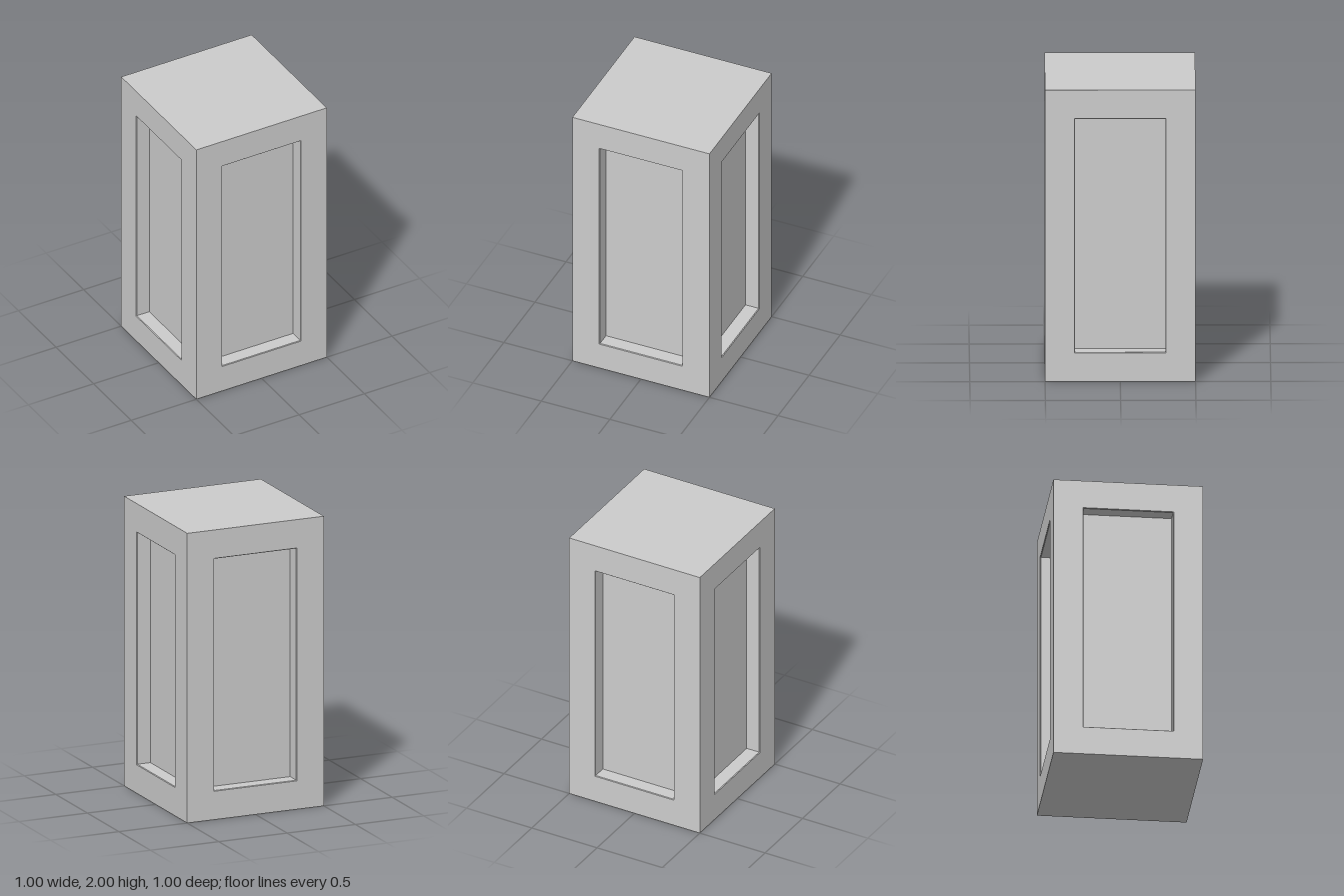
import * as THREE from 'three';

// Each section is a rectangle [half width, half height, distance from axis]
function rect([w, h, z]) {
  return [[-w, 1 - h, z], [w, 1 - h, z], [w, 1 + h, z], [-w, 1 + h, z]];
}

// Joins neighbouring rectangles with flat quads and closes the last one
function nestedPanel(sections) {
  const pos = [];
  const quad = (a, b, c, d) => pos.push(...a, ...b, ...c, ...a, ...c, ...d);
  const loops = sections.map(rect);
  for (let i = 0; i + 1 < loops.length; i++) {
    for (let k = 0; k < 4; k++) {
      const n = (k + 1) % 4;
      quad(loops[i][k], loops[i][n], loops[i + 1][n], loops[i + 1][k]);
    }
  }
  quad(...loops[loops.length - 1]);
  const geometry = new THREE.BufferGeometry();
  geometry.setAttribute('position', new THREE.Float32BufferAttribute(pos, 3));
  geometry.computeVertexNormals();
  return geometry;
}

export function createModel() {
  const model = new THREE.Group();
  model.name = 'panelledPillar';
  const grey = new THREE.MeshStandardMaterial({ color: 0xcccccc });
  grey.name = 'light grey';

  // Four sides: frame, fine lip, recess walls and sunken panel
  const side = nestedPanel([
    [0.5, 1, 0.5],
    [0.304, 0.804, 0.5],
    [0.3, 0.8, 0.495],
    [0.3, 0.8, 0.4],
  ]);
  ['front', 'left', 'back', 'right'].forEach((name, i) => {
    const mesh = new THREE.Mesh(side, grey);
    mesh.name = name + 'Side';
    mesh.rotation.y = i * Math.PI / 2;
    model.add(mesh);
  });

  // Flat top and base
  const cap = new THREE.PlaneGeometry(1, 1);
  for (const [name, y, turn] of [['top', 2, -1], ['base', 0, 1]]) {
    const mesh = new THREE.Mesh(cap, grey);
    mesh.name = name;
    mesh.position.y = y;
    mesh.rotation.x = turn * Math.PI / 2;
    model.add(mesh);
  }
  return model;
}
